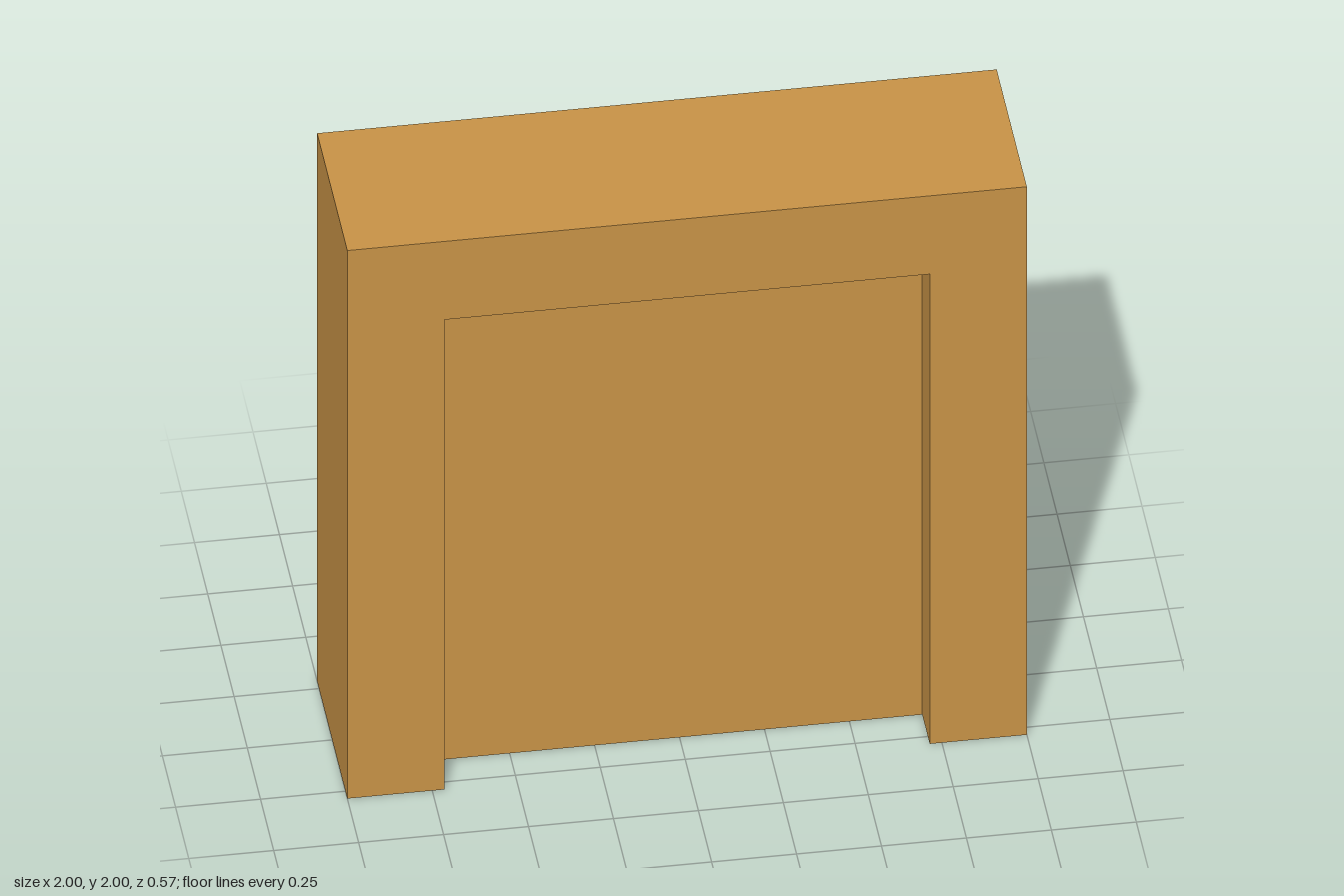
import * as THREE from 'three';

const U = 2 / 7; // frame thickness; all sizes are multiples of it

export function createModel() {
  const model = new THREE.Group();
  model.name = 'panelledDoorway';

  const wood = new THREE.MeshStandardMaterial({ color: 0xc89347 });
  wood.name = 'warm wood';

  // Frame: two posts and a lintel as one upside-down U
  const inner = 1 - U;
  const top = 2 - U;
  const outline = new THREE.Shape([
    [-1, 0], [-inner, 0], [-inner, top], [inner, top],
    [inner, 0], [1, 0], [1, 2], [-1, 2],
  ].map(([x, y]) => new THREE.Vector2(x, y)));
  const frameGeometry = new THREE.ExtrudeGeometry(outline, { depth: 2 * U, bevelEnabled: false });
  frameGeometry.translate(0, 0, -U);
  const frame = new THREE.Mesh(frameGeometry, wood);
  frame.name = 'frame';
  model.add(frame);

  // Panel: fills the opening, recessed on both sides
  const panel = new THREE.Mesh(new THREE.BoxGeometry(2 * inner, top, U), wood);
  panel.name = 'panel';
  panel.position.y = top / 2;
  model.add(panel);

  return model;
}
